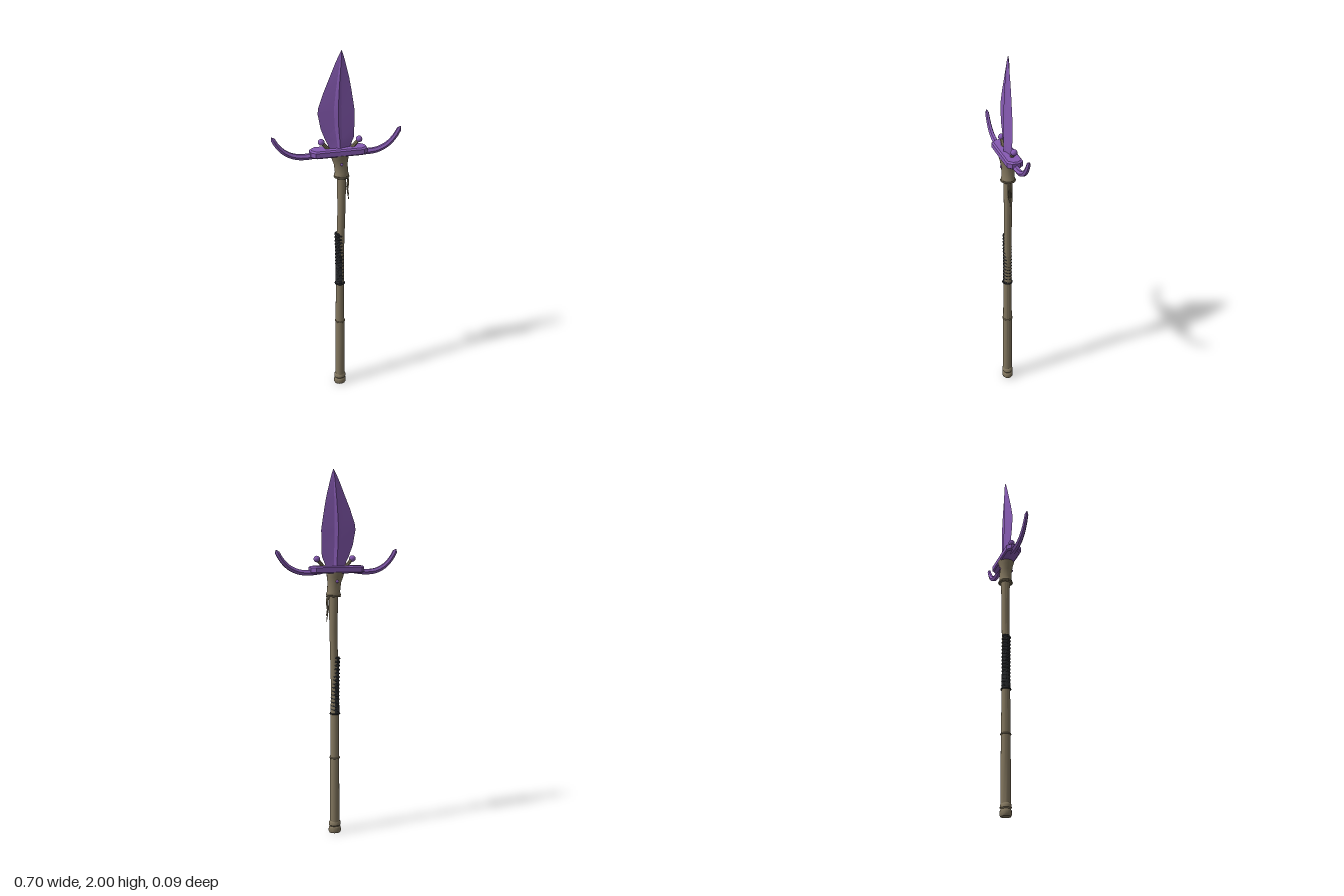
import * as THREE from 'three';
import { toCreasedNormals } from 'three/addons/utils/BufferGeometryUtils.js';

// Skin over closed cross-sections (each counter-clockwise about the travel direction), capped at both ends.
function loft(sections, crease = 0.6) {
  const n = sections[0].length, pos = [], idx = [];
  sections.forEach(s => s.forEach(p => pos.push(p.x, p.y, p.z)));
  for (let i = 0; i < sections.length - 1; i++) {
    for (let j = 0; j < n; j++) {
      const a = i * n + j, b = i * n + (j + 1) % n;
      idx.push(a, b, b + n, a, b + n, a + n);
    }
  }
  const last = (sections.length - 1) * n;
  for (let j = 1; j < n - 1; j++) {
    idx.push(0, j + 1, j, last, last + j, last + j + 1);
  }
  const g = new THREE.BufferGeometry();
  g.setAttribute('position', new THREE.Float32BufferAttribute(pos, 3));
  g.setIndex(idx);
  return toCreasedNormals(g, crease);
}

// Horizontal ellipse section for parts that rise along y.
function ring(y, cx, rx, rz = rx, n = 16) {
  return Array.from({ length: n }, (_, j) => {
    const a = j / n * Math.PI * 2;
    return new THREE.Vector3(cx + Math.cos(a) * rx, y, -Math.sin(a) * rz);
  });
}

// Tapered bar swept along a curve in the front plane; size(t) returns [half depth, half height].
function sweep(points, steps, sides, size) {
  const curve = new THREE.CatmullRomCurve3(points.map(p => new THREE.Vector3(p[0], p[1], p[2] || 0)));
  const z = new THREE.Vector3(0, 0, 1), sections = [];
  for (let i = 0; i <= steps; i++) {
    const t = i / steps, c = curve.getPointAt(t);
    const v = curve.getTangentAt(t).cross(z).normalize(), [w, h] = size(t);
    sections.push(Array.from({ length: sides }, (_, j) => {
      const a = j / sides * Math.PI * 2;
      return c.clone().addScaledVector(z, Math.cos(a) * w).addScaledVector(v, Math.sin(a) * h);
    }));
  }
  return loft(sections);
}

export function createModel() {
  const group = new THREE.Group();
  const mat = (name, color) => {
    const m = new THREE.MeshStandardMaterial({ color });
    m.name = name;
    return m;
  };
  const purple = mat('purple metal', 0x875bb3);
  const wood = mat('weathered wood', 0x83775f);
  const black = mat('black wrap', 0x2b2d30);
  const add = (name, geometry, material) => {
    const m = new THREE.Mesh(geometry, material);
    m.name = name;
    group.add(m);
    return m;
  };

  // Slightly bent shaft: [y, centre x, radius]
  add('shaft', loft([
    [0.05, 0.017, 0.027], [0.3, 0.018, 0.026], [0.43, 0.017, 0.025], [0.68, 0.016, 0.023],
    [0.85, 0.017, 0.021], [1.0, 0.021, 0.021], [1.15, 0.024, 0.022], [1.34, 0.024, 0.025],
  ].map(([y, x, r]) => ring(y, x, r))), wood);

  // Turned foot
  add('foot', loft([
    [0, 0.017, 0.031], [0.008, 0.017, 0.035], [0.03, 0.017, 0.034], [0.037, 0.017, 0.029],
    [0.044, 0.017, 0.034], [0.06, 0.017, 0.033], [0.07, 0.017, 0.026],
  ].map(([y, x, r]) => ring(y, x, r, r * 0.88))), wood);

  // Flared socket under the guard
  add('socket', loft([
    [1.325, 0.024, 0.036, 0.033], [1.335, 0.024, 0.041, 0.037], [1.35, 0.024, 0.036, 0.034],
    [1.4, 0.019, 0.037, 0.034], [1.43, 0.015, 0.045, 0.039], [1.456, 0.013, 0.049, 0.046],
  ].map(([y, x, rx, rz]) => ring(y, x, rx, rz))), wood);

  // Thin bands round the shaft
  for (const [y, x, r] of [[0.43, 0.017, 0.026], [0.68, 0.016, 0.026], [1.327, 0.024, 0.038]]) {
    const band = add('band', new THREE.TorusGeometry(r, 0.004, 6, 20), y < 0.6 || y > 1 ? wood : black);
    band.rotation.x = Math.PI / 2;
    band.position.set(x, y, 0);
  }

  // Coiled grip, leaning to one side as it climbs
  const coil = [];
  for (let i = 0; i <= 240; i++) {
    const t = i / 240, a = t * 15 * Math.PI * 2;
    const x = 0.015 - 0.006 * t * t;
    coil.push(new THREE.Vector3(x + Math.cos(a) * 0.019, 0.685 + t * 0.31, Math.sin(a) * 0.02));
  }
  add('gripWrap', new THREE.TubeGeometry(new THREE.CatmullRomCurve3(coil), 480, 0.0055, 6), black);
  add('gripCore', loft([
    ring(0.68, 0.015, 0.0235), ring(0.86, 0.014, 0.0215), ring(0.995, 0.009, 0.018),
  ]), black);

  // Loose cords hanging from the socket
  for (const [z, end] of [[-0.009, 1.24], [0, 1.19], [0.009, 1.22]]) {
    add('cord', sweep([[0.05, 1.335, z], [0.06, 1.3, z], [0.056, 1.25, z], [0.064, end, z * 0.5]],
      10, 6, t => [0.006 - 0.004 * t, 0.005 - 0.003 * t]), wood);
  }

  // Guard plate with cut corners and bevelled rims
  const plate = (y, hx, hz) => {
    const c = 0.022, cx = 0.0065;
    return [[hx, hz - c], [hx, c - hz], [hx - c, -hz], [c - hx, -hz],
      [-hx, c - hz], [-hx, hz - c], [c - hx, hz], [hx - c, hz]]
      .map(([x, z]) => new THREE.Vector3(cx + x, y, z));
  };
  add('guardPlate', loft([
    plate(1.45, 0.145, 0.036), plate(1.457, 0.152, 0.043),
    plate(1.482, 0.152, 0.043), plate(1.49, 0.145, 0.036),
  ], 0.2), purple);

  for (const side of [1, -1]) {
    // Upswept guard arms with pointed ends
    add('guardArm', sweep([
      [0.1, 1.462], [0.16, 1.455], [0.22, 1.46], [0.275, 1.485], [0.315, 1.525], [0.346, 1.577],
    ].map(([x, y]) => [side * x, y]), 18, 6,
    t => t > 0.99 ? [0.002, 0.002] : [0.018 - 0.008 * t, 0.018 - 0.005 * t]), purple);

    // Ball-tipped prongs beside the blade
    const cx = 0.0165;
    add('prongStem', sweep([[cx + side * 0.055, 1.475], [cx + side * 0.078, 1.5], [cx + side * 0.1, 1.525]],
      6, 8, () => [0.011, 0.01]), wood);
    const ball = add('prongBall', new THREE.SphereGeometry(0.0175, 14, 10), purple);
    ball.position.set(cx + side * 0.102, 1.527, 0);

    // Rivets on the socket
    const rivet = add('rivet', new THREE.SphereGeometry(0.008, 10, 6), purple);
    rivet.position.set(0.016, 1.407, side * 0.034);
  }

  // Leaf blade with a raised spine: [y, left, spine x, right, spine depth]
  add('blade', loft([
    [1.47, -0.04, 0.012, 0.06, 0.021], [1.51, -0.05, 0.011, 0.077, 0.02],
    [1.54, -0.065, 0.009, 0.09, 0.019], [1.6, -0.088, 0.004, 0.092, 0.018],
    [1.68, -0.103, 0.002, 0.093, 0.017], [1.71, -0.1, 0.002, 0.089, 0.017],
    [1.79, -0.072, 0.006, 0.076, 0.015], [1.86, -0.042, 0.011, 0.063, 0.013],
    [1.93, -0.013, 0.017, 0.045, 0.01], [1.975, 0.008, 0.021, 0.033, 0.006], [2, 0.022, 0.023, 0.024, 0.001],
  ].map(([y, l, m, r, d]) => {
    const a = m + (r - m) * 0.2, b = m + (l - m) * 0.2, e = d * 0.5;
    return [[r, 0], [a, -e], [m, -d], [b, -e], [l, 0], [b, e], [m, d], [a, e]]
      .map(([x, z]) => new THREE.Vector3(x, y, z));
  }), 0.25), purple);

  return group;
}
